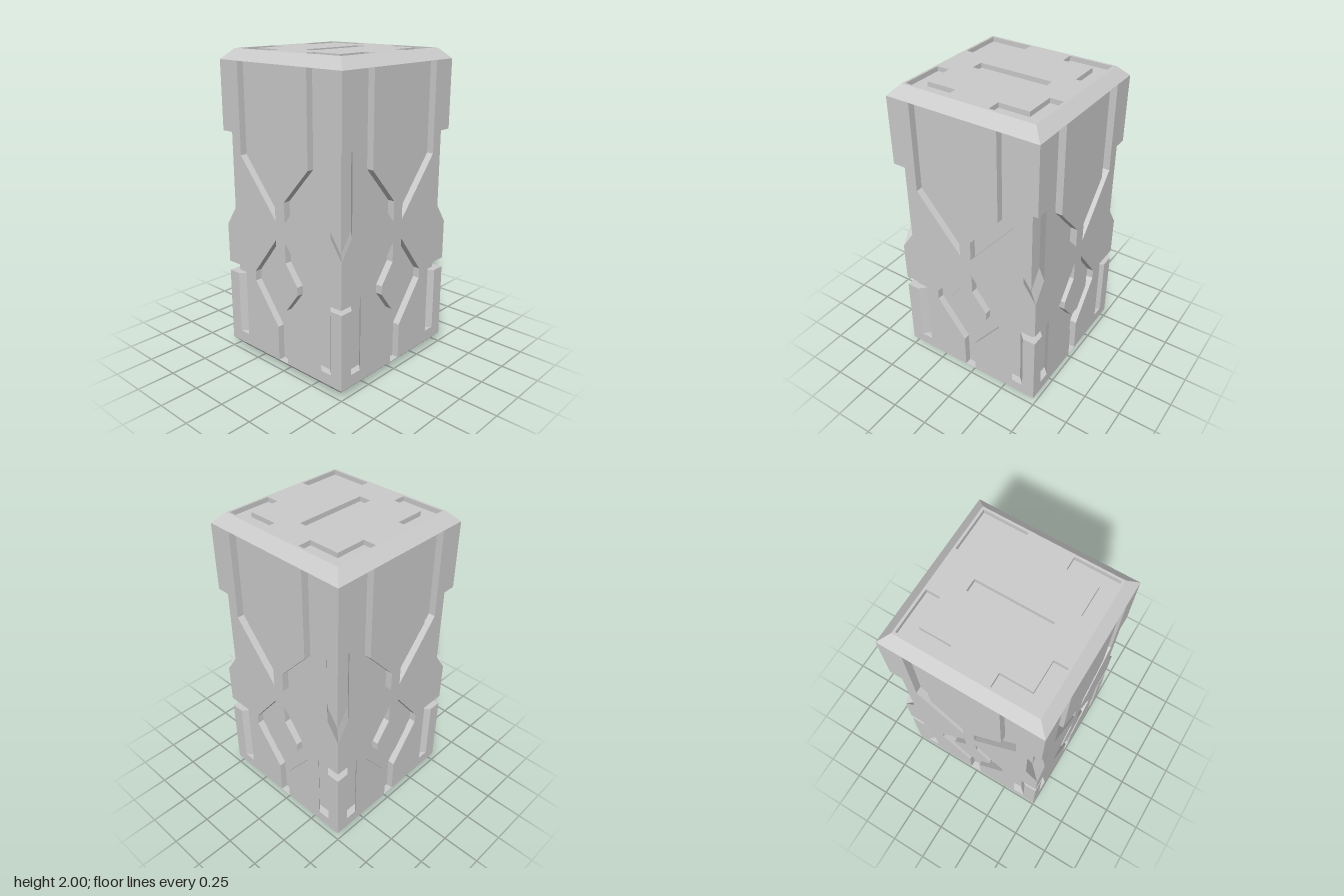
import * as THREE from 'three';
import { mergeGeometries } from 'three/addons/utils/BufferGeometryUtils.js';

const H = 0.5, C = 0.065, TOP = 2 - C;
const material = new THREE.MeshStandardMaterial({ color: 0xcccccc, flatShading: true });

const toPoints = (list) => list.map(([x, y]) => new THREE.Vector2(x, y));
const mirror = (list) => list.map(([x, y]) => [-x, y]);

function plain(geometry) {
  const g = geometry.index ? geometry.toNonIndexed() : geometry;
  g.deleteAttribute('uv');
  g.computeVertexNormals();
  return g;
}

function mesh(name, geometry) {
  const m = new THREE.Mesh(geometry, material);
  m.name = name;
  return m;
}

// Flat sheet in the z = 0 plane with openings
function sheet(outline, holes) {
  const shape = new THREE.Shape(toPoints(outline));
  for (const h of holes) shape.holes.push(new THREE.Path(toPoints(h)));
  return plain(new THREE.ShapeGeometry(shape));
}

// Sunken floor and walls of an opening, pushed in by (dx, 0, -depth);
// edges lying on the panel's vertical border stay open
function recess(list, depth, dx = 0) {
  const pts = toPoints(list);
  if (THREE.ShapeUtils.isClockWise(pts)) pts.reverse();
  const floor = plain(new THREE.ShapeGeometry(new THREE.Shape(pts)));
  floor.translate(dx, 0, -depth);
  const pos = [];
  pts.forEach((a, i) => {
    const b = pts[(i + 1) % pts.length];
    if (Math.abs(a.x) === H && Math.abs(b.x) === H) return;
    const A = [a.x, a.y, 0], B = [b.x, b.y, 0];
    const A2 = [a.x + dx, a.y, -depth], B2 = [b.x + dx, b.y, -depth];
    pos.push(...A, ...B, ...B2, ...A, ...B2, ...A2);
  });
  const walls = new THREE.BufferGeometry();
  walls.setAttribute('position', new THREE.Float32BufferAttribute(pos, 3));
  walls.computeVertexNormals();
  return mergeGeometries([floor, walls]);
}

// Side panel features
const GROOVE = 0.045, NOTCH = 0.085, EPS = 0.001;
const upperGroove = [
  [0.34, TOP - EPS], [0.34, 1.365], [0.04, 1.01], [0.04, 1.14], [0.24, 1.365], [0.24, TOP - EPS],
];
const loopOuter = [[0.04, C + EPS], [0.04, 0.3], [0.24, 0.56], [0.24, 0.625], [0.04, 0.885]];
const loopInner = [[0.04, 0.755], [0.14, 0.625], [0.14, 0.57], [0.04, 0.44]];
const loopHalf = [...loopOuter, ...loopInner];
const loopGroove = [...loopHalf, ...mirror(loopHalf).reverse()];
const postGroove = [[H, 0.56], [0.415, 0.56], [0.415, 0.14], [0.335, 0.14], [0.335, 0.625], [H, 0.625]];
const cornerNotch = [[H, 0.885], [0.415, 1.01], [0.415, 1.5], [H, 1.5]];

function createSide() {
  const side = new THREE.Group();
  const edge = [[H, C], ...postGroove, ...cornerNotch, [H, TOP]];
  const outline = [...edge, ...mirror(edge).reverse()];
  const grooves = [upperGroove, mirror(upperGroove), loopGroove];
  side.add(mesh('sidePanel', sheet(outline, grooves)));
  side.add(mesh('panelGrooves', mergeGeometries(grooves.map((g) => recess(g, GROOVE)))));
  // Corner cuts sink diagonally so neighbouring sides meet
  side.add(mesh('cornerPostGrooves', mergeGeometries([
    recess(postGroove, GROOVE, -GROOVE), recess(mirror(postGroove), GROOVE, GROOVE),
  ])));
  side.add(mesh('cornerNotches', mergeGeometries([
    recess(cornerNotch, NOTCH, -NOTCH), recess(mirror(cornerNotch), NOTCH, NOTCH),
  ])));
  for (const part of side.children) part.position.z = H;
  return side;
}

function bevel(name, rTop, rBottom, y) {
  const g = new THREE.CylinderGeometry(rTop * Math.SQRT2, rBottom * Math.SQRT2, C, 4, 1, true);
  g.rotateY(Math.PI / 4);
  g.translate(0, y, 0);
  return mesh(name, plain(g));
}

export function createModel() {
  const model = new THREE.Group();
  model.name = 'groovedCrate';

  // Four identical sides
  ['front', 'left', 'back', 'right'].forEach((name, i) => {
    const side = createSide();
    side.name = name + 'Side';
    side.rotation.y = i * Math.PI / 2;
    model.add(side);
  });

  // Bevelled rims
  const R = H - C;
  model.add(bevel('topBevel', R, H, 2 - C / 2));
  model.add(bevel('bottomBevel', H, R, C / 2));

  // Lid with corner brackets and a central slot
  const square = [[-R, -R], [R, -R], [R, R], [-R, R]];
  const bracket = [[0.42, 0.42], [0.14, 0.42], [0.14, 0.335], [0.335, 0.335], [0.335, 0.14], [0.42, 0.14]];
  const slots = [[[-0.04, -0.24], [0.04, -0.24], [0.04, 0.24], [-0.04, 0.24]]];
  for (const sx of [-1, 1]) for (const sy of [-1, 1]) slots.push(bracket.map(([x, y]) => [x * sx, y * sy]));
  const lid = new THREE.Group();
  lid.name = 'lid';
  lid.add(mesh('lidPanel', sheet(square, slots)));
  lid.add(mesh('lidSlots', mergeGeometries(slots.map((s) => recess(s, 0.03)))));
  lid.rotation.x = -Math.PI / 2;
  lid.position.y = 2;
  model.add(lid);

  // Flat underside
  const base = mesh('base', sheet(square, []));
  base.rotation.x = Math.PI / 2;
  model.add(base);
  return model;
}
